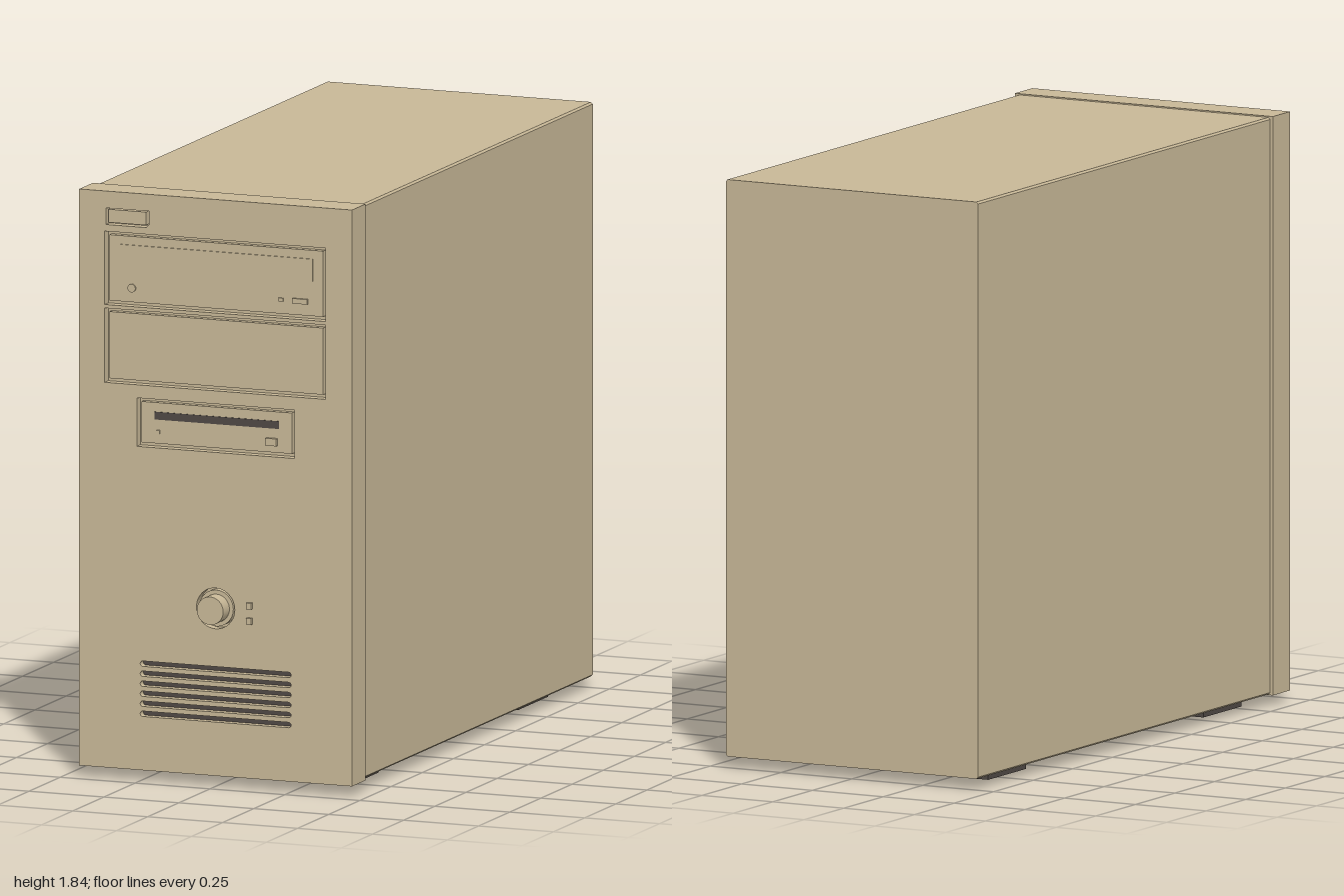
import * as THREE from 'three';

export function createModel() {
  const group = new THREE.Group();
  const beige = new THREE.MeshStandardMaterial({ color: 0xc8b897 });
  beige.name = 'beige casing';
  const dark = new THREE.MeshStandardMaterial({ color: 0x4f4844 });
  dark.name = 'dark rubber';

  const add = (name, geometry, material = beige) => {
    const mesh = new THREE.Mesh(geometry, material);
    mesh.name = name;
    group.add(mesh);
    return mesh;
  };
  // Box given by its limits on each axis
  const box = (name, x0, x1, y0, y1, z0, z1, material) => {
    const mesh = add(name, new THREE.BoxGeometry(x1 - x0, y1 - y0, z1 - z0), material);
    mesh.position.set((x0 + x1) / 2, (y0 + y1) / 2, (z0 + z1) / 2);
    return mesh;
  };
  // Cylinder pointing forwards
  const disc = (name, x, y, r, z0, z1) => {
    const mesh = add(name, new THREE.CylinderGeometry(r, r, z1 - z0, 40).rotateX(Math.PI / 2));
    mesh.position.set(x, y, (z0 + z1) / 2);
    return mesh;
  };
  const trace = (path, points) => path.setFromPoints(points.map(([x, y]) => new THREE.Vector2(x, y)));
  const rect = (path, x0, x1, y0, y1) => trace(path, [[x0, y0], [x1, y0], [x1, y1], [x0, y1]]);

  // Case body with finely chamfered long edges
  const w = 0.445, y0 = 0.035, y1 = 1.836, c = 0.006;
  const outline = trace(new THREE.Shape(), [
    [-w + c, y0], [w - c, y0], [w, y0 + c], [w, y1 - c],
    [w - c, y1], [-w + c, y1], [-w, y1 - c], [-w, y0 + c],
  ]);
  const body = new THREE.ExtrudeGeometry(outline, { depth: 1.845, bevelEnabled: false });
  add('caseBody', body).position.z = -1;

  // Front panel: solid core behind a pierced face plate
  const floor = 0.925, face = 0.955;
  box('panelCore', -0.455, 0.455, 0.033, 1.84, 0.845, floor);
  const plate = rect(new THREE.Shape(), -0.455, 0.455, 0.033, 1.84);
  const bays = [
    ['opticalDrive', -0.37, 0.367, 1.484, 1.714],
    ['blankBayCover', -0.37, 0.367, 1.24, 1.473],
    ['floppyDrive', -0.263, 0.263, 1.047, 1.199],
  ];
  for (const [name, a, b, d, e] of bays) {
    plate.holes.push(rect(new THREE.Path(), a, b, d, e));
    const gap = 0.012;
    box(name, a + gap, b - gap, d + gap, e - gap, floor, 0.945);
  }

  // Badge recess with one clipped corner
  plate.holes.push(trace(new THREE.Path(), [
    [-0.366, 1.735], [-0.232, 1.735], [-0.222, 1.745], [-0.222, 1.787], [-0.366, 1.787],
  ]));
  box('badgeBlank', -0.361, -0.235, 1.741, 1.782, floor, 0.948);

  // Power button recess
  plate.holes.push(new THREE.Path().absarc(0, 0.558, 0.064, 0, Math.PI * 2));

  // Ventilation slots with rounded ends and dark floors
  for (let i = 0; i < 6; i++) {
    const y = 0.21 + i * 0.0314, r = 0.0085, half = 0.243;
    const slot = new THREE.Path();
    slot.absarc(half, y, r, -Math.PI / 2, Math.PI / 2);
    slot.absarc(-half, y, r, Math.PI / 2, Math.PI * 1.5);
    plate.holes.push(slot);
    box('ventSlot', -0.252, 0.252, y - r, y + r, floor, floor + 0.005, dark);
  }
  const plateGeometry = new THREE.ExtrudeGeometry(plate, {
    depth: face - floor, bevelEnabled: false, curveSegments: 20,
  });
  add('frontPanel', plateGeometry).position.z = floor;

  // Optical drive details
  box('discTray', -0.32, 0.32, 1.605, 1.675, 0.945, 0.949);
  disc('headphoneJack', -0.283, 1.54, 0.013, 0.945, 0.95);
  box('opticalLight', 0.207, 0.222, 1.535, 1.546, 0.945, 0.95);
  box('opticalEject', 0.254, 0.304, 1.532, 1.548, 0.945, 0.953);

  // Floppy drive details
  box('floppySlot', -0.208, 0.208, 1.134, 1.158, 0.945, 0.947, dark);
  box('floppyEject', 0.165, 0.203, 1.081, 1.104, 0.945, 0.957);
  box('floppyLight', -0.2, -0.189, 1.09, 1.101, 0.945, 0.949);

  // Power button on a stepped collar, and two indicator lamps
  disc('buttonCollar', 0, 0.558, 0.057, floor, 0.95);
  disc('powerButton', 0, 0.558, 0.044, 0.95, 1);
  for (const y of [0.527, 0.575]) {
    box('indicatorLamp', 0.107, 0.123, y - 0.01, y + 0.01, face, 0.967);
  }

  // Four rubber feet
  for (const x of [-0.303, 0.303]) {
    for (const z of [0.67, -0.69]) {
      box('foot', x - 0.072, x + 0.072, 0, 0.036, z - 0.12, z + 0.12, dark);
    }
  }
  return group;
}
